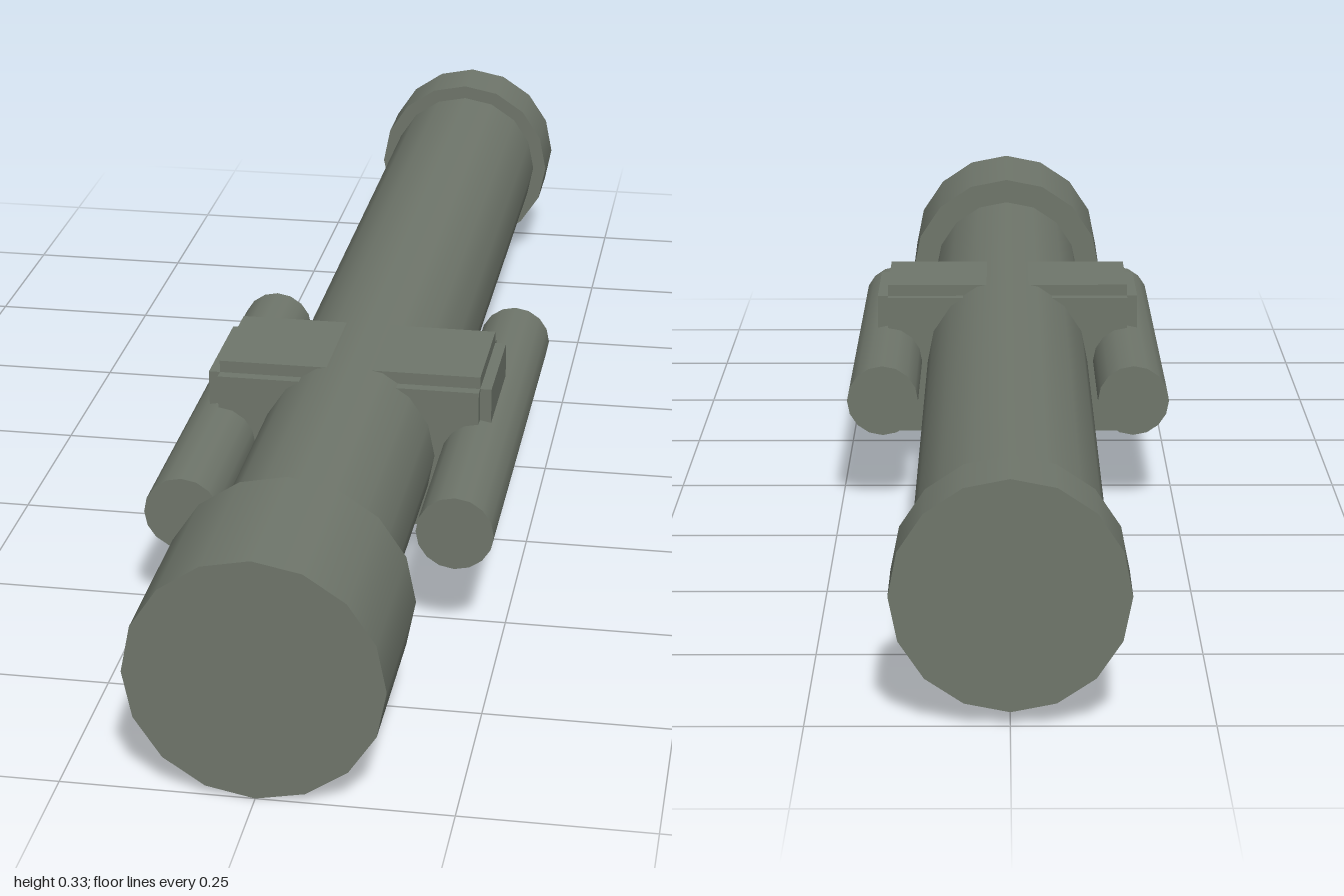
import * as THREE from 'three';

const AXIS_Y = 0.166;

export function createModel() {
  const group = new THREE.Group();
  const material = new THREE.MeshStandardMaterial({ color: 0x6f766b });

  const add = (name, geometry, x, z) => {
    const mesh = new THREE.Mesh(geometry, material);
    mesh.name = name;
    mesh.position.set(x, AXIS_Y, z);
    group.add(mesh);
  };

  // Cylinder lying along z from z0 to z1
  const rod = (name, radius, z0, z1, x = 0) => {
    const geometry = new THREE.CylinderGeometry(radius, radius, z1 - z0, 16).rotateX(Math.PI / 2);
    add(name, geometry, x, (z0 + z1) / 2);
  };

  // Main tube with a collar at each end
  rod('mainTube', 0.125, -0.95, 0.85);
  rod('frontCollar', 0.165, 0.765, 1);
  rod('rearCollar', 0.147, -1, -0.9);

  // Slim rods along both sides
  rod('leftSideRod', 0.053, -0.11, 0.566, 0.187);
  rod('rightSideRod', 0.053, -0.11, 0.566, -0.187);

  // Mounting block: a core with raised plates on each pair of faces
  const box = (name, w, h, d) => add(name, new THREE.BoxGeometry(w, h, d), 0, 0.228);
  box('mountTopBottomPlates', 0.374, 0.237, 0.168);
  box('mountFrontBackPlates', 0.374, 0.202, 0.2);
  box('mountSidePlates', 0.406, 0.202, 0.168);

  return group;
}
